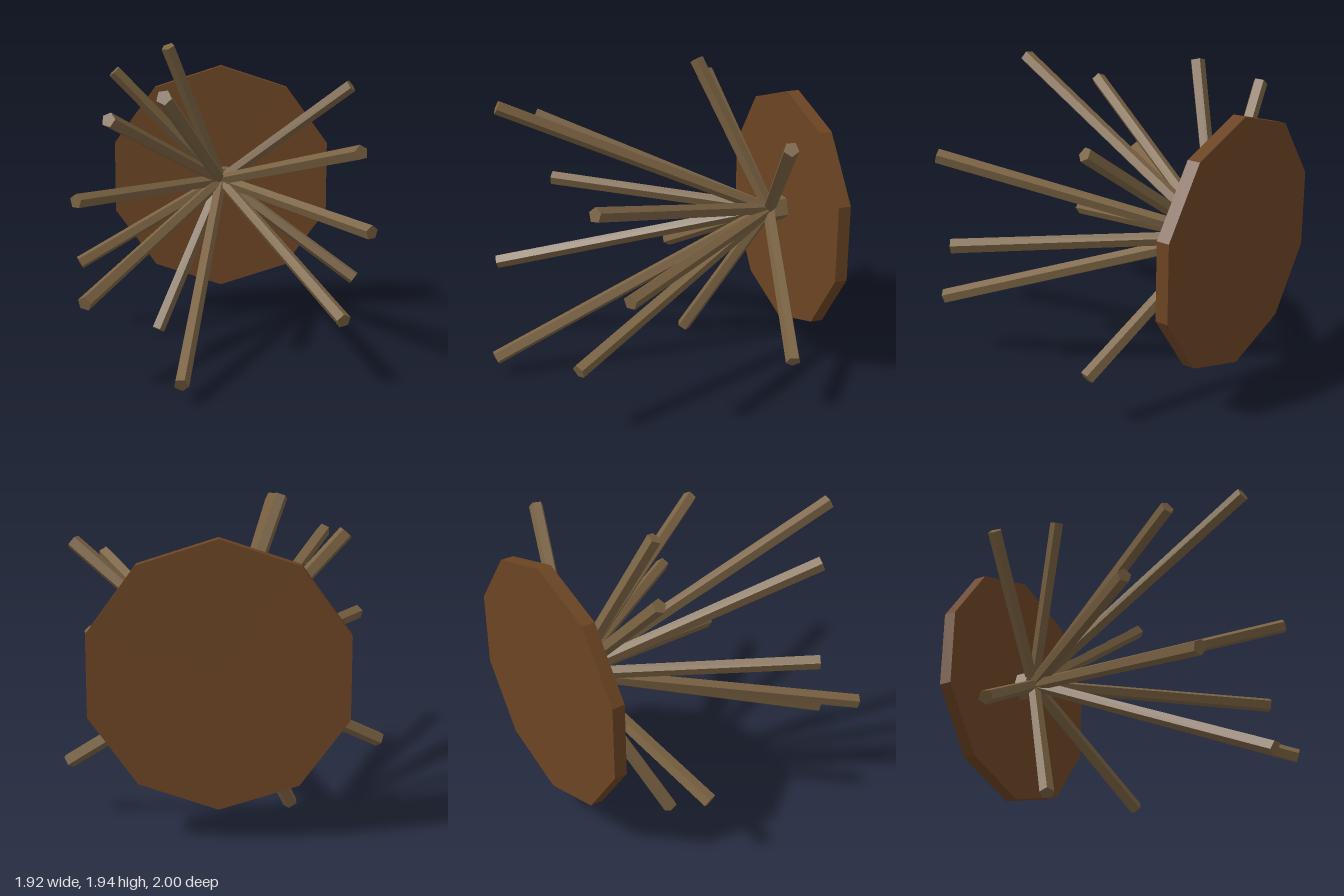
import * as THREE from 'three';

export function createModel() {
  const model = new THREE.Group();
  model.name = 'spikedDisc';
  const discWood = new THREE.MeshStandardMaterial({ color: 0x6b4423, flatShading: true });
  const spikeWood = new THREE.MeshStandardMaterial({ color: 0x7a6242, flatShading: true });
  const centre = new THREE.Vector3(0.01, 0.975, -0.82);
  const up = new THREE.Vector3(0, 1, 0);

  // Low-poly rod running between two points
  function rod(name, from, to, rFrom, rTo, sides, material) {
    const dir = to.clone().sub(from);
    const length = dir.length();
    const mesh = new THREE.Mesh(new THREE.CylinderGeometry(rTo, rFrom, length, sides), material);
    mesh.name = name;
    mesh.position.copy(from).addScaledVector(dir, 0.5);
    mesh.quaternion.setFromUnitVectors(up, dir.normalize());
    model.add(mesh);
  }
  const onAxis = (z) => new THREE.Vector3(centre.x, centre.y, z);

  // Ten-sided back plate and the short hub in front of it
  rod('backDisc', onAxis(-1), onAxis(-0.92), 0.775, 0.775, 10, discWood);
  rod('hub', onAxis(-0.93), onAxis(-0.83), 0.09, 0.09, 5, spikeWood);

  // Spike tips, all fanning out from the hub
  const tips = [
    [-0.33, 1.92, -0.44], [-0.29, 1.745, 0.885], [-0.70, 1.74, -0.665], [-0.63, 1.575, 0.55],
    [0.87, 1.66, -0.525], [0.83, 1.40, 0.635], [0.92, 0.89, 0.465], [-0.85, 1.06, 0.385],
    [-0.935, 0.465, -0.485], [-0.76, 0.545, 0.81], [0.74, 0.42, 0.72], [0.92, 0.34, -0.57],
    [-0.41, 0.026, -0.40], [-0.20, 0.115, 0.98],
  ];
  tips.forEach((t, i) =>
    rod(`spike${i + 1}`, centre, new THREE.Vector3(...t), 0.041, 0.046, 5, spikeWood));

  return model;
}
